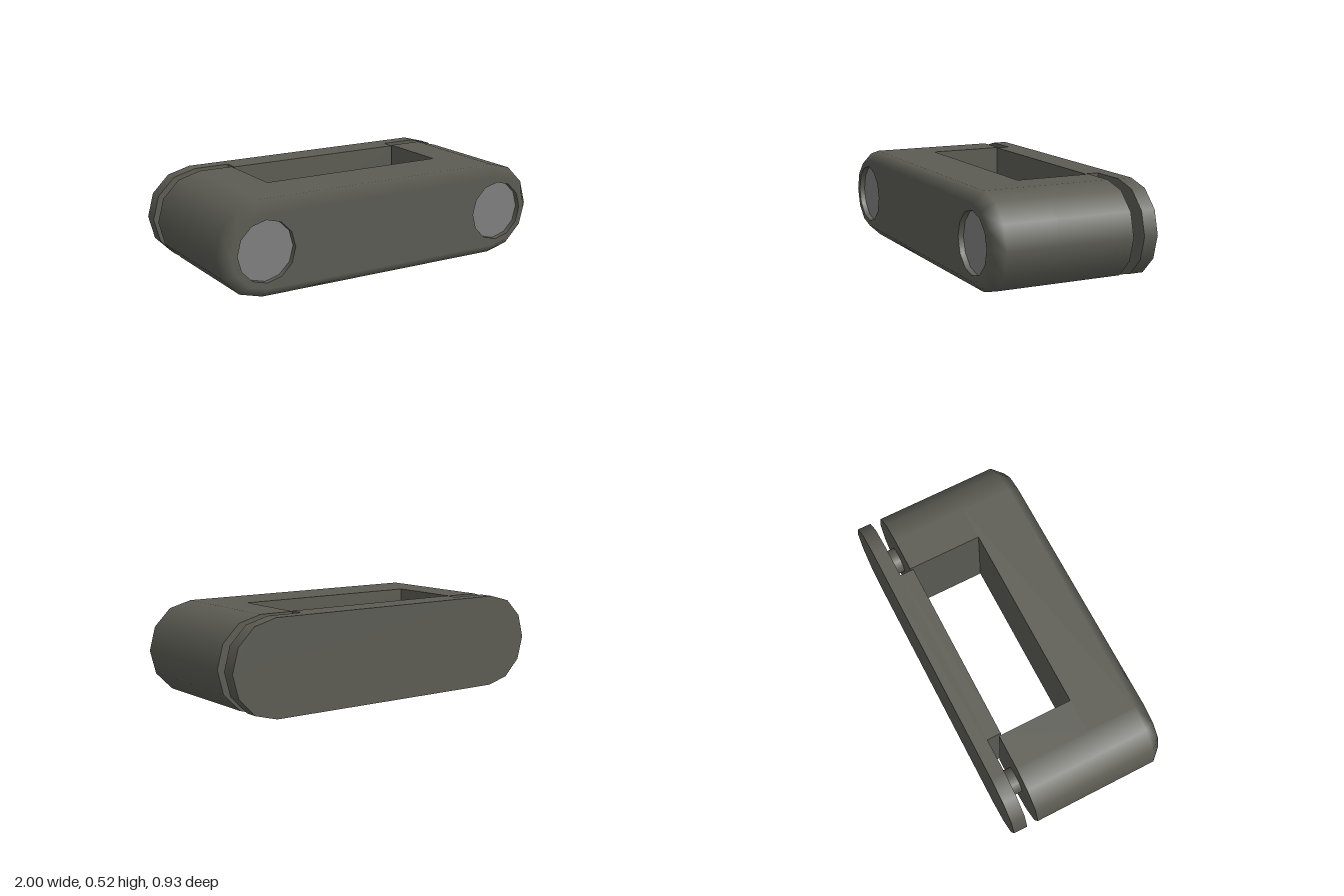
import * as THREE from 'three';
import { mergeGeometries } from 'three/addons/utils/BufferGeometryUtils.js';

const R = 0.26, CX = 0.74, SLOT = 0.545;

// Profile point: position plus outward normal
const pt = (x, y, nx, ny) => ({ x, y, nx, ny });

// Arc of profile points, angles in 30 degree steps; sign -1 makes normals face inward
function arc(cx, r, from, to, sign = 1) {
  const pts = [], step = Math.sign(to - from);
  for (let i = from; i !== to + step; i += step) {
    const c = Math.cos(i * Math.PI / 6), s = Math.sin(i * Math.PI / 6);
    pts.push(pt(cx + r * c, R + r * s, c * sign, s * sign));
  }
  return pts;
}

const stadium = (r = R) => [...arc(CX, r, -3, 3), ...arc(-CX, r, 3, 9)];

// Side walls along z; each ring is [z, inset, facesForward]
function walls(profile, rings) {
  const pos = [], nor = [];
  const put = (p, [z, inset, forward]) => {
    pos.push(p.x - p.nx * inset, p.y - p.ny * inset, z);
    nor.push(...(forward ? [0, 0, 1] : [p.nx, p.ny, 0]));
  };
  for (let k = 0; k < rings.length - 1; k++) {
    profile.forEach((p, i) => {
      const q = profile[(i + 1) % profile.length], a = rings[k], b = rings[k + 1];
      put(p, a); put(q, a); put(q, b);
      put(p, a); put(q, b); put(p, b);
    });
  }
  const g = new THREE.BufferGeometry();
  g.setAttribute('position', new THREE.Float32BufferAttribute(pos, 3));
  g.setAttribute('normal', new THREE.Float32BufferAttribute(nor, 3));
  return g;
}

// Flat end cap, facing +z or -z
function cap(profile, z, back = false, holes = []) {
  const flat = (list) => list.map((p) => new THREE.Vector2(back ? -p.x : p.x, p.y));
  const shape = new THREE.Shape(flat(profile));
  shape.holes = holes.map((h) => new THREE.Path(flat(h)));
  const g = new THREE.ShapeGeometry(shape).toNonIndexed();
  g.deleteAttribute('uv');
  if (back) g.rotateY(Math.PI);
  return g.translate(0, 0, z);
}

export function createModel() {
  const group = new THREE.Group();
  const casing = new THREE.MeshStandardMaterial({ color: 0x5c5c54 });
  const metal = new THREE.MeshStandardMaterial({ color: 0x808080 });
  const add = (name, geometry, material, x = 0, y = 0, z = 0) => {
    const mesh = new THREE.Mesh(geometry, material);
    mesh.name = name;
    mesh.position.set(x, y, z);
    group.add(mesh);
  };
  const rod = (r, length) => new THREE.CylinderGeometry(r, r, length, 12).rotateX(Math.PI / 2);

  // Front block with chamfered rim and two round recesses
  const recesses = [CX, -CX].map((x) => arc(x, 0.167, 12, 0, -1));
  add('frontBlock', mergeGeometries([
    walls(stadium(), [[0.11, 0, false], [0.4, 0, false], [0.465, 0.06, true]]),
    cap(stadium(R - 0.06), 0.465, false, recesses.map((h) => h.slice(0, 12))),
    cap(stadium(), 0.11, true),
    ...recesses.map((h) => walls(h, [[0.42, 0, false], [0.465, 0, false]])),
  ]), casing);

  // Arms reaching back on either side of the slot
  const leftArm = [
    pt(SLOT, 0, 0, -1), ...arc(CX, R, -3, 3), pt(SLOT, 2 * R, 0, 1),
    pt(SLOT, 2 * R, -1, 0), pt(SLOT, 0, -1, 0),
  ];
  const rightArm = leftArm.map((p) => pt(-p.x, p.y, -p.nx, p.ny)).reverse();
  [['leftArm', leftArm], ['rightArm', rightArm]].forEach(([name, profile]) => {
    const outline = profile.filter((p) => Math.abs(p.nx) < 1 || Math.abs(p.x) > CX);
    add(name, mergeGeometries([
      walls(profile, [[-0.32, 0, false], [0.11, 0, false]]),
      cap(outline, -0.32, true),
    ]), casing);
  });

  // Closing plate at the back with its tongue
  add('backPlate', mergeGeometries([
    walls(stadium(), [[-0.465, 0, false], [-0.385, 0, false]]),
    cap(stadium(), -0.385),
    cap(stadium(), -0.465, true),
  ]), casing);
  add('plateTongue', new THREE.BoxGeometry(1.07, 2 * R, 0.08), casing, 0, R, -0.345);

  // Connecting pins and recessed bolt heads
  for (const [side, x] of [['left', CX], ['right', -CX]]) {
    add(side + 'Pin', rod(0.075, 0.085), casing, x, R, -0.3525);
    add(side + 'BoltHead', rod(0.167, 0.06), metal, x, R, 0.405);
  }
  return group;
}
